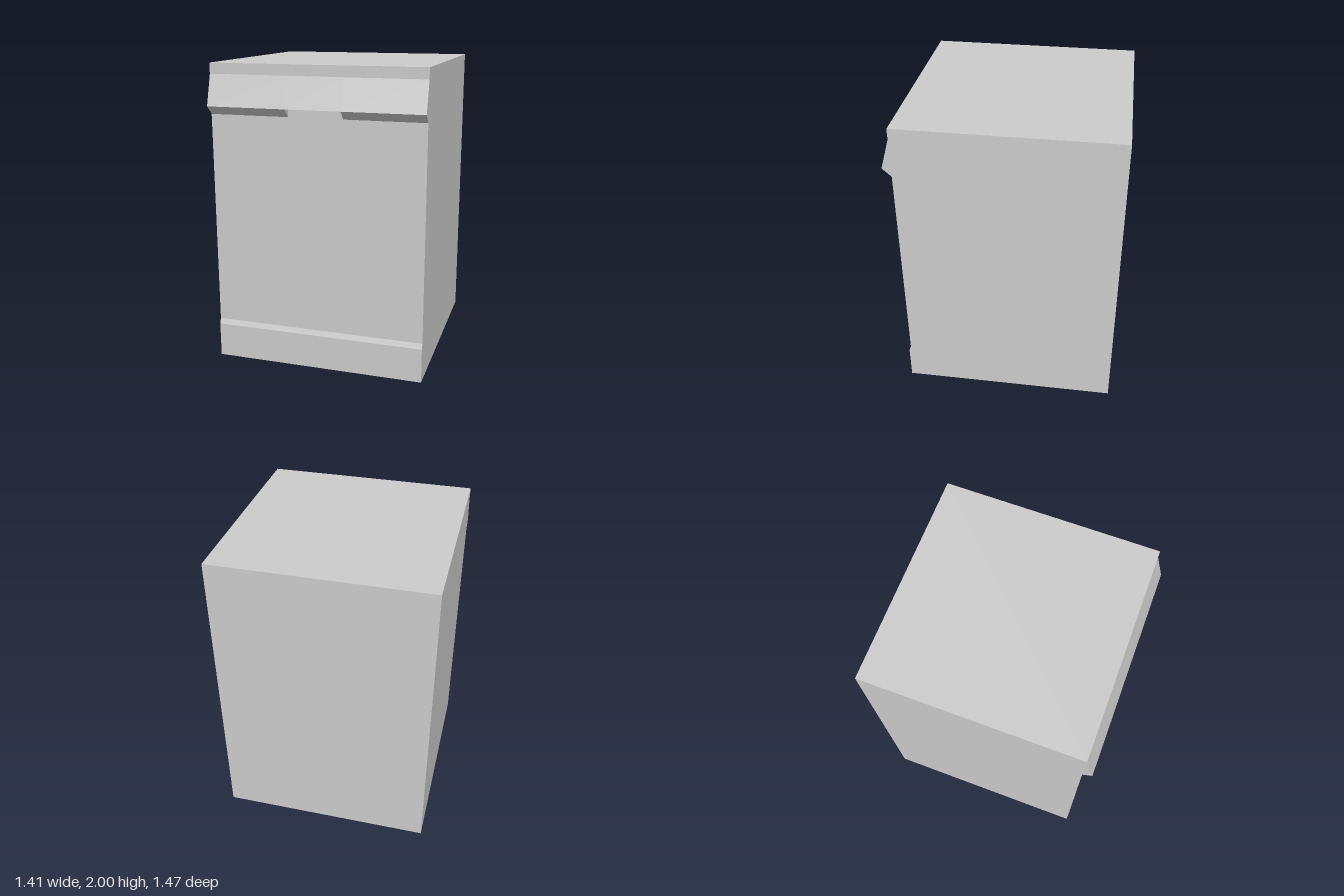
import * as THREE from 'three';

const WIDTH = 1.41;
const BACK = -0.735;
const FRONT = 0.677;   // door plane
const LIP = 0.735;     // furthest point of the control panel
const GRIP = 0.36;     // width of the handle recess

const material = new THREE.MeshStandardMaterial({ color: 0xcccccc, flatShading: true });

// Extrudes a side profile of [z, y] points across x, centred on the given x
function sideProfile(name, points, width, x = 0) {
  const shape = new THREE.Shape(points.map(([z, y]) => new THREE.Vector2(z, y)));
  const geometry = new THREE.ExtrudeGeometry(shape, { depth: width, bevelEnabled: false });
  geometry.translate(0, 0, -width / 2);
  geometry.rotateY(-Math.PI / 2);
  const mesh = new THREE.Mesh(geometry, material);
  mesh.name = name;
  mesh.position.x = x;
  return mesh;
}

export function createModel() {
  const model = new THREE.Group();
  model.name = 'dishwasher';

  // Cabinet with flat door and slightly raised kick plate
  model.add(sideProfile('cabinet', [
    [BACK, 0], [0.69, 0], [0.69, 0.23], [FRONT, 0.265], [FRONT, 2], [BACK, 2],
  ], WIDTH));

  // Wedge-shaped control panel, solid on both sides of the handle
  const panel = new THREE.Group();
  panel.name = 'controlPanel';
  const sideWidth = (WIDTH - GRIP) / 2;
  for (const side of [-1, 1]) {
    panel.add(sideProfile(side < 0 ? 'rightPanel' : 'leftPanel', [
      [FRONT, 1.675], [LIP, 1.73], [FRONT, 1.93],
    ], sideWidth, side * (GRIP + sideWidth) / 2));
  }

  // Middle of the panel, hollow underneath as a finger grip
  panel.add(sideProfile('handle', [
    [FRONT, 1.835], [0.698, 1.835], [0.728, 1.73], [LIP, 1.73], [FRONT, 1.93],
  ], GRIP));
  model.add(panel);

  return model;
}
